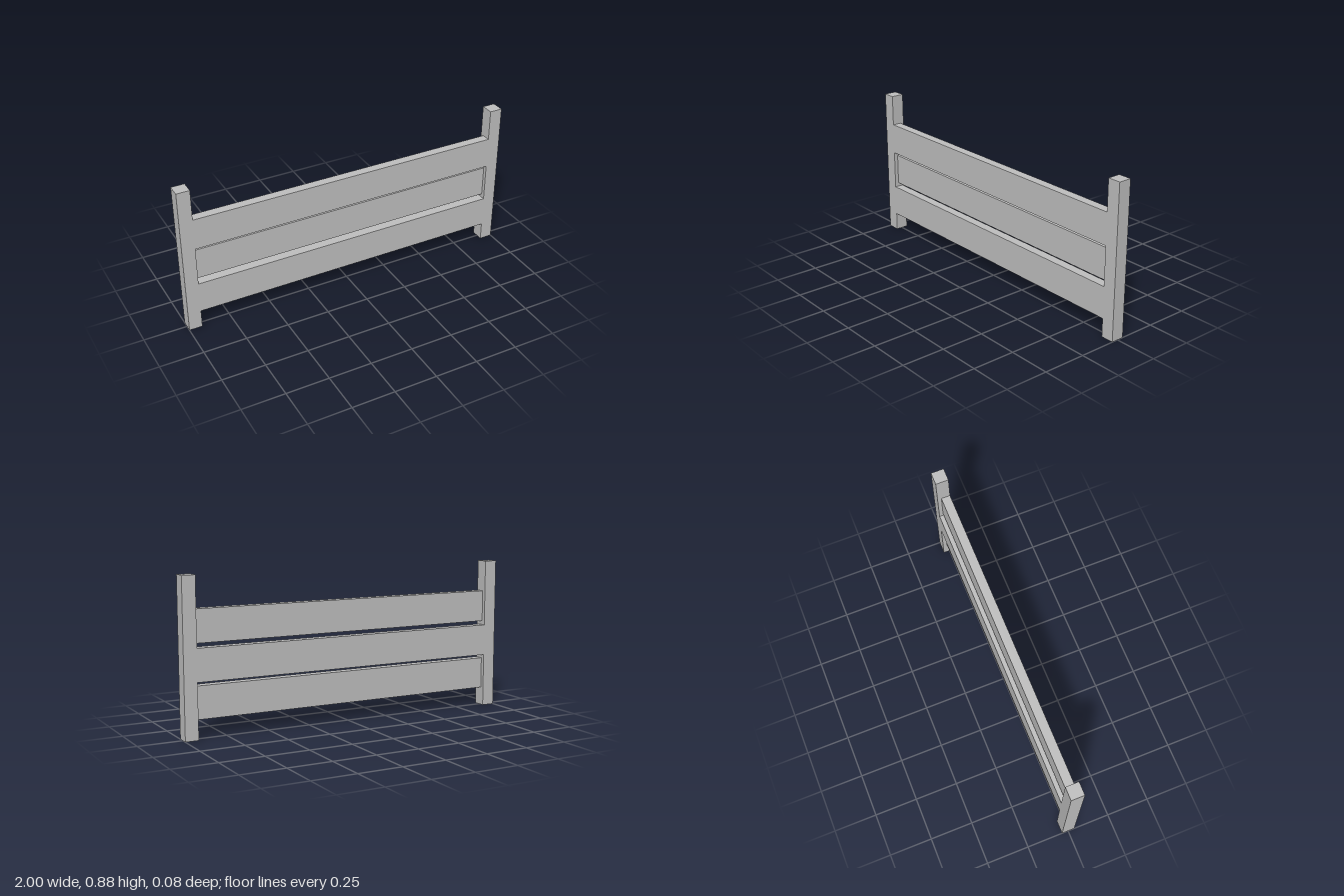
import * as THREE from 'three';

const LENGTH = 2, HEIGHT = 0.882, POST = 0.076;
const RAIL_HEIGHT = 0.183, RAIL_DEPTH = 0.053, RAIL_PITCH = 0.2055, FIRST_RAIL = 0.107;

export function createModel() {
  const model = new THREE.Group();
  model.name = 'railFence';
  const grey = new THREE.MeshStandardMaterial({ color: 0xbfbfbf });
  grey.name = 'grey';

  const addBox = (name, w, h, d, x, y, z) => {
    const mesh = new THREE.Mesh(new THREE.BoxGeometry(w, h, d), grey);
    mesh.name = name;
    mesh.position.set(x, y, z);
    model.add(mesh);
  };

  // Square end posts
  for (const side of [-1, 1]) {
    addBox(side > 0 ? 'leftPost' : 'rightPost', POST, HEIGHT, POST,
      side * (LENGTH - POST) / 2, HEIGHT / 2, 0);
  }

  // Rails alternate between flush with the front and flush with the back
  ['bottomRail', 'middleRail', 'topRail'].forEach((name, i) => {
    const face = i % 2 ? -1 : 1;
    addBox(name, LENGTH - 2 * POST, RAIL_HEIGHT, RAIL_DEPTH,
      0, FIRST_RAIL + i * RAIL_PITCH + RAIL_HEIGHT / 2, face * (POST - RAIL_DEPTH) / 2);
  });

  return model;
}
